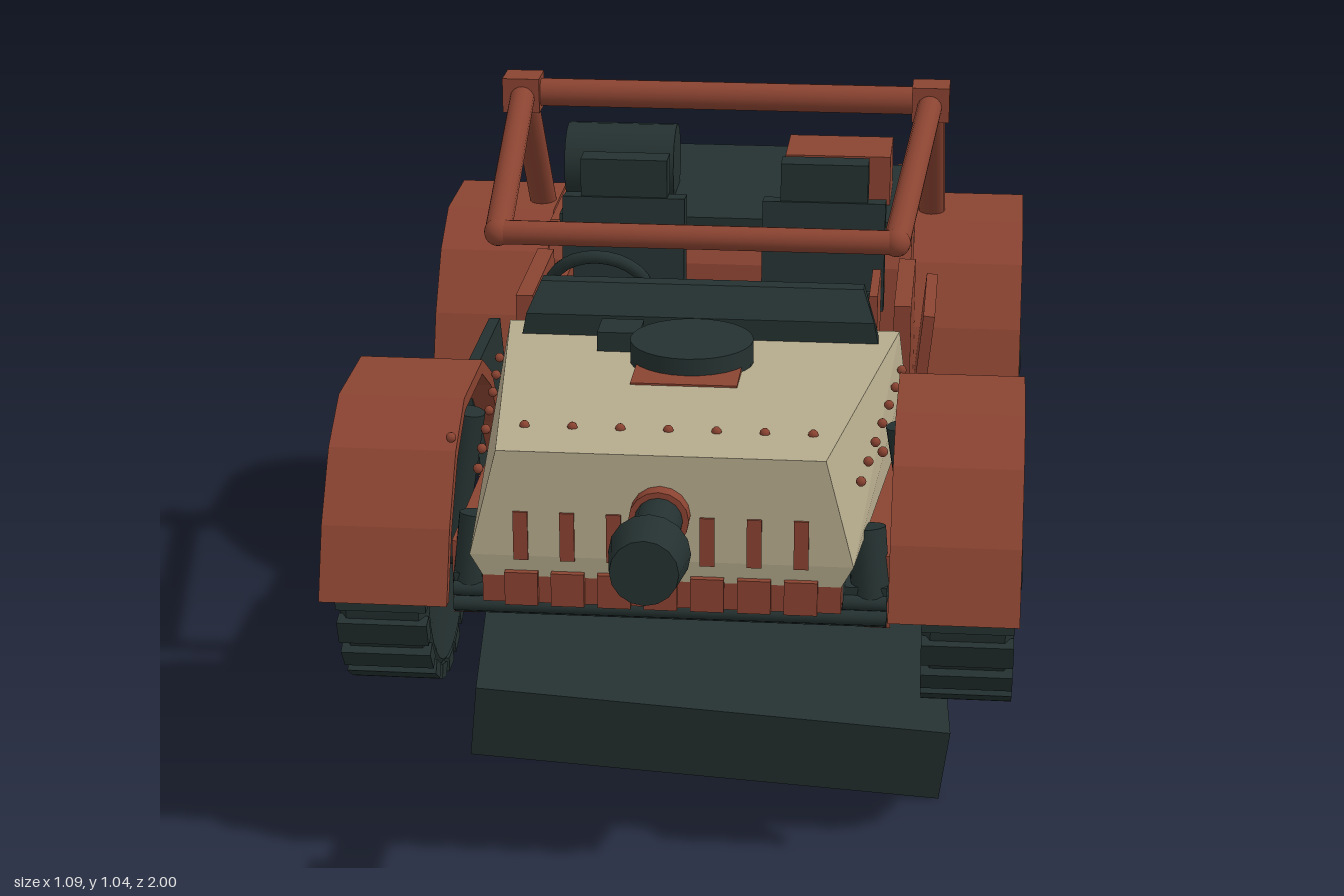
import * as THREE from 'three';
import { toCreasedNormals } from 'three/addons/utils/BufferGeometryUtils.js';
import { ConvexGeometry } from 'three/addons/geometries/ConvexGeometry.js';

const V = (x, y, z) => new THREE.Vector3(x, y, z);

function material(name, color) {
  const m = new THREE.MeshStandardMaterial({ color });
  m.name = name;
  return m;
}

export function createModel() {
  const root = new THREE.Group();
  root.name = 'buggy';
  const rust = material('rust', 0x8a4331);
  const tan = material('tan', 0xb6ab8d);
  const dark = material('darkSlate', 0x243130);

  const add = (name, geo, mat, parent = root) => {
    const m = new THREE.Mesh(geo, mat);
    m.name = name;
    parent.add(m);
    return m;
  };
  // box given by its extents on each axis
  const box = (name, mat, [x0, x1], [y0, y1], [z0, z1], parent) => {
    const m = add(name, new THREE.BoxGeometry(x1 - x0, y1 - y0, z1 - z0), mat, parent);
    m.position.set((x0 + x1) / 2, (y0 + y1) / 2, (z0 + z1) / 2);
    return m;
  };
  // round bar from a to b, optionally tapered
  const bar = (name, mat, a, b, r, r2 = r, parent = root) => {
    const m = add(name, new THREE.CylinderGeometry(r2, r, a.distanceTo(b), 16), mat, parent);
    m.position.copy(a).lerp(b, 0.5);
    m.quaternion.setFromUnitVectors(V(0, 1, 0), b.clone().sub(a).normalize());
    return m;
  };
  const rivet = (x, y, z) => add('rivet', new THREE.SphereGeometry(0.008, 8, 6), rust).position.set(x, y, z);

  // tilted slab underneath
  const slab = add('baseSlab', new THREE.BoxGeometry(1, 1, 1), dark);
  const basis = new THREE.Matrix4().makeBasis(V(0.778, -0.08, -0.065), V(0.017, 0.137, 0.03), V(0.079, -0.185, 1.0));
  slab.geometry.applyMatrix4(basis);
  slab.position.set(0, 0.205, -0.0875);
  bar('supportStrut', rust, V(0.22, 0.46, 0.22), V(-0.17, 0.34, -0.29), 0.027);

  // chassis and tub
  box('floorPan', dark, [-0.3, 0.3], [0.45, 0.56], [-0.8, 0.6]);
  box('frontCrossMember', dark, [-0.335, 0.335], [0.45, 0.515], [0.6, 0.66]);
  for (const y of [0.465, 0.49]) bar('crossTube', dark, V(-0.335, y, 0.66), V(0.335, y, 0.66), 0.012);
  for (const s of [-1, 1]) {
    box('sideSill', rust, s < 0 ? [-0.34, -0.3] : [0.3, 0.34], [0.44, 0.56], [-0.82, 0.64]);
    bar('frameStep', rust, V(s * 0.37, 0.462, 0.1), V(s * 0.37, 0.462, -0.36), 0.022);
    box('sidePanel', rust, s < 0 ? [-0.345, -0.315] : [0.315, 0.345], [0.5, 0.72], [-0.35, -0.08]);
    box('seatRail', rust, s < 0 ? [-0.285, -0.27] : [0.27, 0.285], [0.56, 0.72], [-0.29, -0.13]);
  }
  const door = box('openDoor', rust, [0.355, 0.375], [0.48, 0.7], [-0.33, -0.09]);
  door.rotation.z = -0.1;
  const stowed = box('sideBoard', dark, [-0.39, -0.37], [0.5, 0.67], [-0.1, 0.22]);
  stowed.rotation.z = 0.08;

  // rear body, deck and cargo
  const rear = new THREE.Shape([[-0.39, 0.46], [-0.41, 0.68], [-0.45, 0.745], [-0.81, 0.745], [-0.825, 0.46]]
    .map(p => new THREE.Vector2(...p)));
  const rearGeo = new THREE.ExtrudeGeometry(rear, { depth: 0.67, bevelEnabled: false });
  rearGeo.translate(0, 0, -0.335).rotateY(-Math.PI / 2);
  add('rearBody', rearGeo, rust);
  box('rearDeck', dark, [-0.315, 0.315], [0.74, 0.763], [-0.81, -0.43]);
  box('rearTank', dark, [-0.157, 0.157], [0.56, 0.763], [-0.925, -0.72]);
  box('rearBumper', rust, [-0.33, 0.33], [0.46, 0.5], [-0.85, -0.81]);
  bar('cargoDrum', dark, V(-0.32, 0.815, -0.61), V(-0.115, 0.815, -0.61), 0.073);
  box('cargoCase', rust, [0.095, 0.29], [0.76, 0.855], [-0.68, -0.54]);
  for (let x = -0.3; x < 0.31; x += 0.06) if (Math.abs(x) > 0.17) rivet(x, 0.752, -0.828);
  for (const s of [-1, 1]) bar('exhaust', dark, V(s * 0.125, 0.575, -0.82), V(s * 0.165, 0.545, -0.99), 0.022, 0.024);

  // hood
  const hoodPts = [];
  for (const s of [-1, 1]) {
    hoodPts.push(V(s * 0.27, 0.565, 0.775), V(s * 0.288, 0.6, 0.78), V(s * 0.245, 0.768, 0.78),
      V(s * 0.34, 0.555, 0.08), V(s * 0.34, 0.65, 0.08), V(s * 0.33, 0.73, 0.08));
    for (let i = 0; i < 7; i++) {
      const t = i / 6;
      rivet(s * (0.292 + 0.045 * t), 0.69, 0.66 - 0.5 * t);
    }
    rivet(s * 0.325, 0.755, 0.7);
  }
  add('hood', new ConvexGeometry(hoodPts), tan);
  for (let i = -3; i <= 3; i++) {
    box('grilleSlot', rust, [i * 0.07 - 0.011, i * 0.07 + 0.011], [0.595, 0.672], [0.777, 0.784]);
    box('bumperTooth', rust, [i * 0.07 - 0.025, i * 0.07 + 0.025], [0.522, 0.575], [0.765, 0.787]);
    rivet(i * 0.073, 0.763, 0.66);
  }
  box('frontBumper', rust, [-0.27, 0.27], [0.522, 0.565], [0.72, 0.775]);
  box('bumperBase', dark, [-0.27, 0.27], [0.51, 0.57], [0.62, 0.73]);

  // front nozzle
  bar('nozzleCollar', rust, V(0, 0.675, 0.77), V(0, 0.675, 0.805), 0.045);
  bar('nozzleTube', dark, V(0, 0.675, 0.79), V(0, 0.675, 0.93), 0.036);
  bar('nozzleTip', dark, V(0, 0.675, 0.925), V(0, 0.675, 1.0), 0.06, 0.05);

  // air intake on the hood
  add('intakePlate', new THREE.BoxGeometry(0.17, 0.012, 0.2), rust).position.set(0, 0.746, 0.33);
  add('intakeCap', new THREE.CylinderGeometry(0.1, 0.1, 0.04, 28), dark).position.set(0, 0.76, 0.29);
  box('intakeStub', dark, [-0.16, -0.09], [0.735, 0.772], [0.18, 0.25]);

  // dashboard and steering wheel
  const dashPts = [];
  for (const s of [-1, 1]) dashPts.push(V(s * 0.3, 0.72, 0.16), V(s * 0.29, 0.77, 0.16), V(s * 0.27, 0.815, 0.12),
    V(s * 0.27, 0.815, 0.09), V(s * 0.3, 0.7, 0.07));
  add('dashboard', new ConvexGeometry(dashPts), dark);
  box('footWell', dark, [-0.31, 0.31], [0.55, 0.65], [-0.08, 0.08]);
  const steer = add('steeringWheel', new THREE.TorusGeometry(0.085, 0.011, 8, 28), dark);
  steer.position.set(-0.18, 0.775, 0.05);
  steer.rotation.x = 0.5;
  bar('steeringColumn', dark, V(-0.18, 0.775, 0.05), V(-0.18, 0.72, 0.13), 0.016);
  box('steeringSpoke', dark, [-0.26, -0.1], [0.765, 0.785], [0.043, 0.057]);

  // seats
  for (const s of [-1, 1]) {
    const seat = new THREE.Group();
    seat.name = 'seat';
    seat.position.x = s * 0.18;
    root.add(seat);
    box('seatCushion', dark, [-0.085, 0.085], [0.56, 0.68], [-0.29, -0.02], seat);
    box('seatBack', dark, [-0.11, 0.11], [0.64, 0.835], [-0.335, -0.285], seat).rotation.x = -0.12;
    box('headrest', dark, [-0.078, 0.078], [0.835, 0.905], [-0.355, -0.305], seat);
  }
  box('console', dark, [-0.1, 0.1], [0.56, 0.65], [-0.29, -0.02]);

  // roll cage
  const rearTop = s => V(s * 0.365, 1.015, -0.35), frontTop = s => V(s * 0.325, 0.928, 0.215);
  for (const s of [-1, 1]) {
    bar('cageStrut', rust, rearTop(s), V(s * 0.368, 0.69, -0.63), 0.025);
    bar('cageSideRail', rust, rearTop(s), frontTop(s), 0.022);
    add('cageElbow', new THREE.SphereGeometry(0.023, 16, 12), rust).position.copy(frontTop(s));
    add('cageJoint', new THREE.BoxGeometry(0.066, 0.062, 0.066), rust).position.copy(rearTop(s));
  }
  bar('cageRearBar', rust, rearTop(-1), rearTop(1), 0.025);
  bar('cageFrontBar', rust, frontTop(-1), frontTop(1), 0.02);

  // fenders and wheels
  const half = [[0.3, 0.48], [0.255, 0.59], [0.18, 0.69], [0.09, 0.744]];
  const inner = [[0.28, 0.48], [0.236, 0.58], [0.166, 0.672], [0.083, 0.722]];
  const flip = a => a.map(([z, y]) => [-z, y]).reverse();
  const arch = [...half, ...flip(half), ...flip(inner).reverse(), ...[...inner].reverse()];
  const fenderGeo = new THREE.ExtrudeGeometry(new THREE.Shape(arch.map(p => new THREE.Vector2(...p))),
    { depth: 0.2, bevelEnabled: false });
  fenderGeo.translate(0, 0, -0.1).rotateY(-Math.PI / 2);

  const profile = [[0, -0.06], [0.12, -0.06], [0.18, -0.072], [0.2, -0.058], [0.2, 0.058], [0.18, 0.072],
    [0.135, 0.068], [0.125, 0.045], [0, 0.045]].map(p => new THREE.Vector2(...p));
  const tyreGeo = toCreasedNormals(new THREE.LatheGeometry(profile, 32).rotateZ(-Math.PI / 2), 0.5);
  const lugGeo = new THREE.BoxGeometry(0.144, 0.024, 0.042);

  for (const z of [0.415, -0.602]) {
    bar('axle', dark, V(-0.4, 0.449, z), V(0.4, 0.449, z), 0.025);
    for (const s of [-1, 1]) {
      add('fender', fenderGeo, rust).position.set(s * 0.438, 0, z - 0.003);
      const wheel = new THREE.Group();
      wheel.name = 'wheel';
      wheel.position.set(s * 0.46, 0.449, z);
      if (s < 0) wheel.rotation.y = Math.PI;
      root.add(wheel);
      add('tyre', tyreGeo, dark, wheel);
      bar('hubCap', dark, V(0.03, 0, 0), V(0.084, 0, 0), 0.035, 0.032, wheel);
      for (let i = 0; i < 20; i++) {
        const a = i / 20 * Math.PI * 2;
        const lug = add('treadLug', lugGeo, dark, wheel);
        lug.position.set(0, Math.cos(a) * 0.199, Math.sin(a) * 0.199);
        lug.rotation.x = a;
      }
      bar('shockAbsorber', dark, V(s * 0.385, 0.45, z), V(s * 0.345, 0.69, z), 0.025);
    }
  }
  for (const s of [-1, 1]) bar('frontBracket', dark, V(s * 0.31, 0.49, 0.64), V(s * 0.3, 0.6, 0.62), 0.03);

  return root;
}
